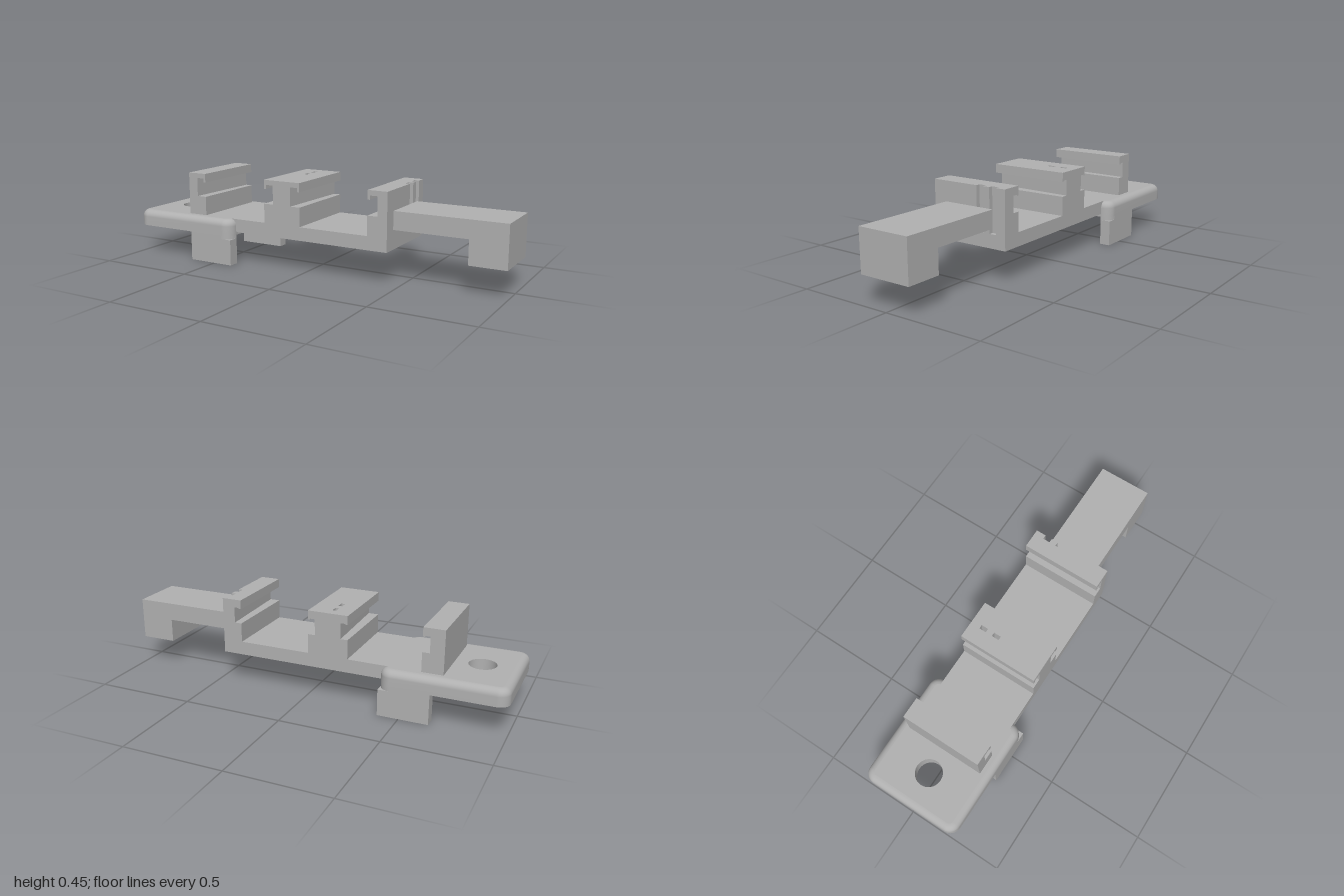
import * as THREE from 'three';

const DECK = 0.233, TOP = 0.45, HALF = 0.206; // deck height, post height, rail half width

export function createModel() {
  const group = new THREE.Group();
  const grey = new THREE.MeshStandardMaterial({ color: 0xb0b0b0 });
  grey.name = 'plain grey';

  const add = (name, geometry) => {
    const mesh = new THREE.Mesh(geometry, grey);
    mesh.name = name;
    group.add(mesh);
    return mesh;
  };
  const box = (name, x0, x1, y0, y1, z0, z1) =>
    add(name, new THREE.BoxGeometry(x1 - x0, y1 - y0, z1 - z0)
      .translate((x0 + x1) / 2, (y0 + y1) / 2, (z0 + z1) / 2));

  // Skin between closed rings of points [x, y, z]
  const loft = (name, rings) => {
    const n = rings[0].length, index = [];
    for (let r = 0; r < rings.length - 1; r++) {
      for (let i = 0; i < n; i++) {
        const a = r * n + i, b = r * n + (i + 1) % n;
        index.push(a, a + n, b, b, a + n, b + n);
      }
    }
    const g = new THREE.BufferGeometry();
    g.setAttribute('position', new THREE.Float32BufferAttribute(rings.flat(2), 3));
    g.setIndex(index);
    g.computeVertexNormals();
    return add(name, g);
  };

  // Mounting plate: rounded rectangle with a filleted top edge and a screw hole
  const plate = { x0: -1, x1: -0.395, z: 0.26, y0: 0.15, corner: 0.055, fillet: 0.035 };
  const outline = (inset) => {
    const pts = [], r = plate.corner - inset, steps = 8;
    const cx = [plate.x1 - plate.corner, plate.x0 + plate.corner];
    const cz = plate.z - plate.corner;
    [[cx[0], cz], [cx[1], cz], [cx[1], -cz], [cx[0], -cz]].forEach(([x, z], q) => {
      for (let i = 0; i <= steps; i++) {
        const a = (q + i / steps) * Math.PI / 2;
        pts.push([x + r * Math.cos(a), z + r * Math.sin(a)]);
      }
    });
    return pts;
  };
  const ring = (pts, y) => pts.map(([x, z]) => [x, y, z]);
  const hole = Array.from({ length: 40 }, (_, i) => {
    const a = -i / 40 * Math.PI * 2;
    return [-0.82 + 0.067 * Math.cos(a), 0.067 * Math.sin(a)];
  });
  const sides = [ring(outline(0), plate.y0)];
  for (let i = 0; i <= 6; i++) {
    const a = i / 6 * Math.PI / 2;
    sides.push(ring(outline(plate.fillet * (1 - Math.cos(a))),
      DECK - plate.fillet * (1 - Math.sin(a))));
  }
  loft('plateEdge', sides);
  loft('screwHoleWall', [ring(hole, plate.y0), ring(hole, DECK)]);
  const cap = (name, inset, y, up) => {
    // shape y becomes -z when facing up and +z when facing down
    const toShape = (pts) => pts.map(([x, z]) => new THREE.Vector2(x, up ? -z : z));
    const shape = new THREE.Shape(toShape(outline(inset)));
    shape.holes.push(new THREE.Path(toShape(hole)));
    add(name, new THREE.ShapeGeometry(shape)
      .rotateX(up ? -Math.PI / 2 : Math.PI / 2).translate(0, y, 0));
  };
  cap('plateTop', plate.fillet, DECK, true);
  cap('plateUnderside', 0, plate.y0, false);

  // Side legs: square below, corner rounded where they meet the plate
  for (const s of [1, -1]) {
    const inner = s * 0.205, outer = s * plate.z;
    box('sideLeg', -0.645, plate.x1, 0, 0.132, Math.min(inner, outer), Math.max(inner, outer));
    const shape = new THREE.Shape();
    shape.moveTo(-0.645, inner);
    shape.lineTo(-0.645, outer);
    shape.lineTo(plate.x1 - plate.corner, outer);
    shape.quadraticCurveTo(plate.x1 - 0.005, s * (plate.z - 0.005), plate.x1, inner);
    add('legShoulder', new THREE.ExtrudeGeometry(shape, { depth: 0.02, bevelEnabled: false })
      .rotateX(Math.PI / 2).translate(0, 0.152, 0));
  }

  // Rail joining the plate to the posts
  box('rail', -0.432, 0.453, 0.165, DECK, -HALF, HALF);

  // Post with a lipped slot that narrows towards the back
  const clipPost = (name, tip, back) => {
    const s = Math.sign(tip - back), deep = tip - s * 0.052, roof = 0.425, lip = tip - s * 0.012;
    const shape = new THREE.Shape([
      [back, DECK], [tip, DECK], [tip, 0.33], [deep, 0.33], [deep, roof],
      [lip, roof], [lip, 0.405], [tip, 0.405], [tip, TOP], [back, TOP],
    ].map(([x, y]) => new THREE.Vector2(x, y)));
    const g = new THREE.ExtrudeGeometry(shape, { depth: 2 * HALF, bevelEnabled: false })
      .translate(0, 0, -HALF);
    const p = g.attributes.position;
    for (let i = 0; i < p.count; i++) {
      if (p.getZ(i) > 0) continue;
      if (Math.abs(p.getX(i) - deep) < 1e-4) p.setX(i, deep + s * 0.016);
      if (Math.abs(p.getY(i) - roof) < 1e-4) p.setY(i, 0.41);
    }
    g.computeVertexNormals();
    add(name, g);
  };
  // Strip of a post interrupted by two small vertical slots
  const slottedStrip = (name, x0, x1) => {
    for (const [z0, z1] of [[-HALF, -0.155], [-0.118, -0.083], [-0.045, HALF]]) {
      box(name, x0, x1, DECK, TOP, z0, z1);
    }
  };

  clipPost('endPost', -0.585, -0.69);
  clipPost('middlePostLeftHalf', -0.22, -0.14);
  slottedStrip('middlePostCore', -0.14, -0.12);
  clipPost('middlePostRightHalf', -0.015, -0.12);
  clipPost('armPost', 0.352, 0.431);
  slottedStrip('armPostBack', 0.431, 0.453);

  // Arm with a downturned end
  box('arm', 0.453, 0.82, 0.26, 0.35, -0.136, 0.138);
  box('armFoot', 0.82, 1, 0.14, 0.35, -0.136, 0.138);

  return group;
}
